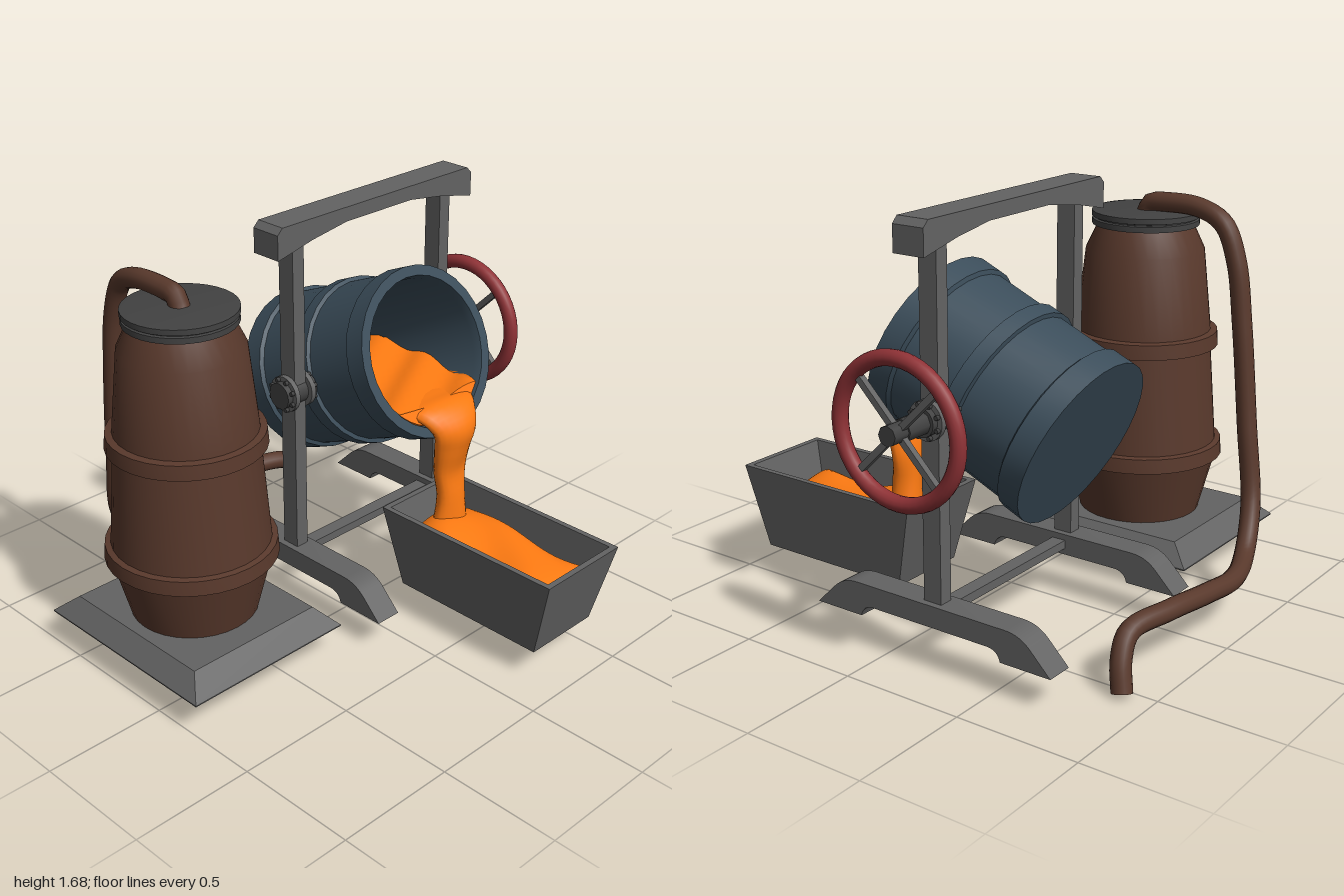
import * as THREE from 'three';
import { toCreasedNormals } from 'three/addons/utils/BufferGeometryUtils.js';

const paint = (color) => new THREE.MeshStandardMaterial({ color });
const BROWN = paint(0x59392c), BLUE = paint(0x3b4d5a), GREY = paint(0x636363);
const DARK = paint(0x424242), RED = paint(0x8f3236), ORANGE = paint(0xff7b12);
const V = (x, y, z) => new THREE.Vector3(x, y, z);

function add(parent, name, geometry, material, x = 0, y = 0, z = 0) {
  const mesh = new THREE.Mesh(geometry, material);
  mesh.name = name;
  mesh.position.set(x, y, z);
  parent.add(mesh);
  return mesh;
}

// Closed skin over equal-length rings, capped at both ends
function loft(rings, crease = 0.6) {
  const n = rings[0].length, pos = [], idx = [];
  rings.forEach((r) => r.forEach((p) => pos.push(p.x, p.y, p.z)));
  for (let i = 0; i < rings.length - 1; i++) {
    for (let j = 0; j < n; j++) {
      const a = i * n + j, b = i * n + (j + 1) % n;
      idx.push(a, a + n, b, b, a + n, b + n);
    }
  }
  [0, rings.length - 1].forEach((i) => {
    const c = rings[i].reduce((s, p) => s.add(p), V(0, 0, 0)).divideScalar(n);
    const k = pos.length / 3;
    pos.push(c.x, c.y, c.z);
    for (let j = 0; j < n; j++) {
      const a = i * n + j, b = i * n + (j + 1) % n;
      idx.push(k, ...(i === 0 ? [a, b] : [b, a]));
    }
  });
  const g = new THREE.BufferGeometry();
  g.setAttribute('position', new THREE.Float32BufferAttribute(pos, 3));
  g.setIndex(idx);
  return toCreasedNormals(g, crease);
}

// Rectangular ring, half sizes hx and hz, at height y
const rect = ([hx, hz, y]) => [V(hx, y, -hz), V(hx, y, hz), V(-hx, y, hz), V(-hx, y, -hz)];

function lathe(profile, segments = 32) {
  const pts = profile.map(([r, y]) => new THREE.Vector2(r, y));
  return toCreasedNormals(new THREE.LatheGeometry(pts, segments), 0.4);
}

function extrude(shape, depth) {
  const g = new THREE.ExtrudeGeometry(shape, { depth, bevelEnabled: false, curveSegments: 8 });
  return g.translate(0, 0, -depth / 2);
}

// Cylinder lying along x
const rodX = (r, length, sides = 16) => new THREE.CylinderGeometry(r, r, length, sides).rotateZ(Math.PI / 2);

function addTank(root) {
  const tank = new THREE.Group();
  tank.name = 'tallBarrel';
  tank.position.set(-0.626, 0, -0.22);
  root.add(tank);
  // Sloped plinth with a hollow underside
  add(tank, 'plinth', loft([[0.30, 0.36, 0.17], [0.30, 0.36, 0.13], [0.372, 0.443, 0.13],
    [0.372, 0.443, 0.135], [0.302, 0.355, 0.21]].map(rect)), GREY);
  add(tank, 'barrelBody', lathe([[0, 0.2], [0.25, 0.2], [0.315, 0.45], [0.34, 0.455], [0.335, 0.515],
    [0.312, 0.52], [0.28, 0.92], [0.31, 0.925], [0.305, 0.985], [0.278, 0.99], [0.242, 1.32],
    [0.19, 1.43], [0, 1.43]]), BROWN);
  add(tank, 'barrelLid', lathe([[0, 1.42], [0.218, 1.42], [0.218, 1.443], [0.207, 1.446],
    [0.207, 1.45], [0.22, 1.453], [0.22, 1.475], [0.2, 1.478], [0, 1.478]]), DARK);
}

function addHose(root) {
  const path = new THREE.CatmullRomCurve3([
    V(-0.625, 1.46, -0.22), V(-0.622, 1.505, -0.245), V(-0.62, 1.515, -0.31), V(-0.62, 1.51, -0.47),
    V(-0.61, 1.46, -0.585), V(-0.605, 1.32, -0.65), V(-0.6, 1.07, -0.69), V(-0.585, 0.66, -0.74),
    V(-0.55, 0.36, -0.79), V(-0.42, 0.2, -0.84), V(-0.21, 0.18, -0.905), V(0, 0.2, -0.91),
    V(0.25, 0.22, -0.89), V(0.45, 0.2, -0.845), V(0.515, 0.12, -0.855), V(0.545, 0.01, -0.88)]);
  add(root, 'hose', new THREE.TubeGeometry(path, 110, 0.04, 14), BROWN);
  const end = add(root, 'hoseEnd', new THREE.CircleGeometry(0.04, 14), BROWN);
  end.position.copy(path.getPoint(1));
  end.lookAt(path.getPoint(1).add(path.getTangent(1)));
}

function addFrame(root) {
  const frame = new THREE.Group();
  frame.name = 'frame';
  frame.position.set(0.33, 0, -0.215);
  root.add(frame);
  // Arched top beam
  const beam = new THREE.Shape();
  [[-0.54, 1.55], [-0.36, 1.59], [-0.18, 1.617], [0.18, 1.617], [0.36, 1.59], [0.54, 1.55], [0.54, 1.65],
    [0.515, 1.675], [-0.515, 1.675], [-0.54, 1.65]].forEach(([x, y], i) => (i ? beam.lineTo(x, y) : beam.moveTo(x, y)));
  add(frame, 'topBeam', extrude(beam, 0.133), GREY);
  add(frame, 'crossBar', new THREE.BoxGeometry(0.82, 0.035, 0.06), GREY, 0, 0.218, 0);
  // Foot outline: swept toes, flat top, shallow notch underneath
  const foot = new THREE.Shape();
  foot.moveTo(-0.535, 0.13);
  foot.lineTo(-0.32, 0.13);
  foot.quadraticCurveTo(-0.31, 0.175, -0.26, 0.175);
  foot.lineTo(0.26, 0.175);
  foot.quadraticCurveTo(0.31, 0.175, 0.32, 0.13);
  foot.lineTo(0.535, 0.13);
  foot.lineTo(0.45, 0.215);
  foot.quadraticCurveTo(0.405, 0.26, 0.34, 0.26);
  foot.lineTo(-0.34, 0.26);
  foot.quadraticCurveTo(-0.405, 0.26, -0.45, 0.215);
  for (const s of [-1, 1]) {
    const x = s * 0.413;
    add(frame, 'foot', toCreasedNormals(extrude(foot, 0.112).rotateY(Math.PI / 2), 0.5), GREY, x);
    add(frame, 'post', new THREE.BoxGeometry(0.058, 1.38, 0.078), GREY, x, 0.92, 0);
    // Bearing: sleeve, two flanges and rings of bolts
    add(frame, 'bearingSleeve', rodX(0.055, 0.155), DARK, x, 0.955, 0);
    for (const f of [-1, 1]) {
      add(frame, 'bearingFlange', rodX(0.075, 0.022, 20), GREY, x + f * 0.042, 0.955, 0);
      for (let i = 0; i < 8; i++) {
        const a = (i + 0.5) * Math.PI / 4;
        add(frame, 'bearingBolt', rodX(0.009, 0.02, 6), DARK, x + f * 0.058, 0.955 + 0.063 * Math.sin(a), 0.063 * Math.cos(a));
      }
    }
  }
  add(frame, 'axleStub', rodX(0.04, 0.14), DARK, -0.37, 0.955, 0);
}

function addWheel(root) {
  const wheel = new THREE.Group();
  wheel.name = 'handWheel';
  wheel.position.set(0.943, 0.955, -0.215);
  root.add(wheel);
  add(wheel, 'wheelRim', new THREE.TorusGeometry(0.26, 0.03, 14, 48).rotateY(Math.PI / 2), RED);
  for (const s of [-1, 1]) {
    add(wheel, 'spoke', new THREE.BoxGeometry(0.025, 0.52, 0.025), GREY).rotation.x = s * Math.PI / 4;
  }
  add(wheel, 'wheelShaft', rodX(0.044, 0.3, 8), DARK, -0.165);
  add(wheel, 'wheelHub', rodX(0.038, 0.1, 8), DARK, 0.007);
}

function addDrum(root) {
  const drum = new THREE.Group();
  drum.name = 'tippingDrum';
  drum.position.set(0.33, 0.955, -0.215);
  const tilt = 1.162, c = Math.cos(tilt), s = Math.sin(tilt);
  drum.rotation.x = tilt;
  root.add(drum);
  // Outer wall with hoops, rolled over the mouth to the inner wall and floor
  add(drum, 'drumShell', lathe([[0, -0.37], [0.345, -0.37], [0.345, -0.275], [0.33, -0.265], [0.33, -0.037],
    [0.346, -0.032], [0.346, 0.032], [0.33, 0.037], [0.33, 0.265], [0.345, 0.275], [0.345, 0.367],
    [0.303, 0.367], [0.295, 0.33], [0.28, -0.33], [0, -0.33]], 30), BLUE);
  // Liquid inside: circles cut off at a gently rippled level
  const rings = [];
  for (let i = 0; i <= 20; i++) {
    const y = -0.325 + 0.68 * i / 20, r = 0.279 + 0.016 * i / 20;
    rings.push(Array.from({ length: 48 }, (_, j) => {
      const a = j / 48 * 2 * Math.PI, px = r * Math.cos(a);
      const level = 0.91 + 0.012 * Math.sin(i * 0.9 + px * 14);
      const cut = Math.min((0.955 + c * y - level) / s, r * 0.95);
      const half = Math.sqrt(r * r - cut * cut);
      const x = cut > 0 ? THREE.MathUtils.clamp(px, -half, half) : px;
      return V(x, y, Math.max(r * Math.sin(a), cut));
    }));
  }
  add(drum, 'drumLiquid', loft(rings, 0.9), ORANGE);
}

function addPour(root) {
  // Each row: height, depth, half width, half thickness
  const rows = [[0.87, 0.05, 0.17, 0.03], [0.872, 0.14, 0.185, 0.035], [0.865, 0.22, 0.15, 0.048],
    [0.81, 0.268, 0.11, 0.052], [0.73, 0.262, 0.1, 0.045], [0.62, 0.243, 0.085, 0.042],
    [0.5, 0.25, 0.066, 0.05], [0.36, 0.25, 0.085, 0.06]];
  const path = new THREE.CatmullRomCurve3(rows.map((r) => V(0, r[0], r[1])));
  const size = new THREE.CatmullRomCurve3(rows.map((r) => V(r[2], r[3], 0)));
  const rings = [];
  for (let i = 0; i <= 32; i++) {
    const p = path.getPoint(i / 32), t = path.getTangent(i / 32), w = size.getPoint(i / 32);
    rings.push(Array.from({ length: 20 }, (_, j) => {
      const a = j / 20 * 2 * Math.PI;
      const lump = 1 + 0.06 * Math.sin(3 * a + i * 0.35);
      const u = w.x * Math.cos(a) * lump, v = w.y * Math.sin(a) * lump;
      return V(0.345 + u, p.y - t.z * v, p.z + t.y * v);
    }));
  }
  add(root, 'pouringStream', loft(rings, 1), ORANGE);
}

function addTrough(root) {
  const trough = new THREE.Group();
  trough.name = 'trough';
  trough.position.set(0.33, 0, 0.52);
  root.add(trough);
  add(trough, 'troughShell', loft([[0.173, 0.347, 0.12], [0.213, 0.43, 0.465], [0.19, 0.405, 0.465],
    [0.152, 0.325, 0.15]].map(rect)), GREY);
  // Lumpy filling, higher where the stream lands
  const fill = new THREE.BoxGeometry(0.335, 0.2, 0.68, 14, 1, 28);
  const p = fill.attributes.position;
  for (let i = 0; i < p.count; i++) {
    const x = p.getX(i), z = p.getZ(i);
    const edge = Math.max(Math.abs(x) / 0.1675, Math.abs(z) / 0.34);
    if (p.getY(i) > 0) {
      const mound = 0.05 * Math.exp(-((z + 0.25) ** 2 + x * x) * 20);
      p.setY(i, 0.1 + mound + 0.012 * Math.sin(x * 17 + z * 13) - 0.035 * edge ** 6);
    } else p.setX(i, x * 0.9);
  }
  add(trough, 'troughLiquid', toCreasedNormals(fill, 0.9), ORANGE, 0, 0.27, 0.01);
}

export function createModel() {
  const root = new THREE.Group();
  root.name = 'pouringStation';
  [addTank, addHose, addFrame, addWheel, addDrum, addPour, addTrough].forEach((build) => build(root));
  return root;
}
